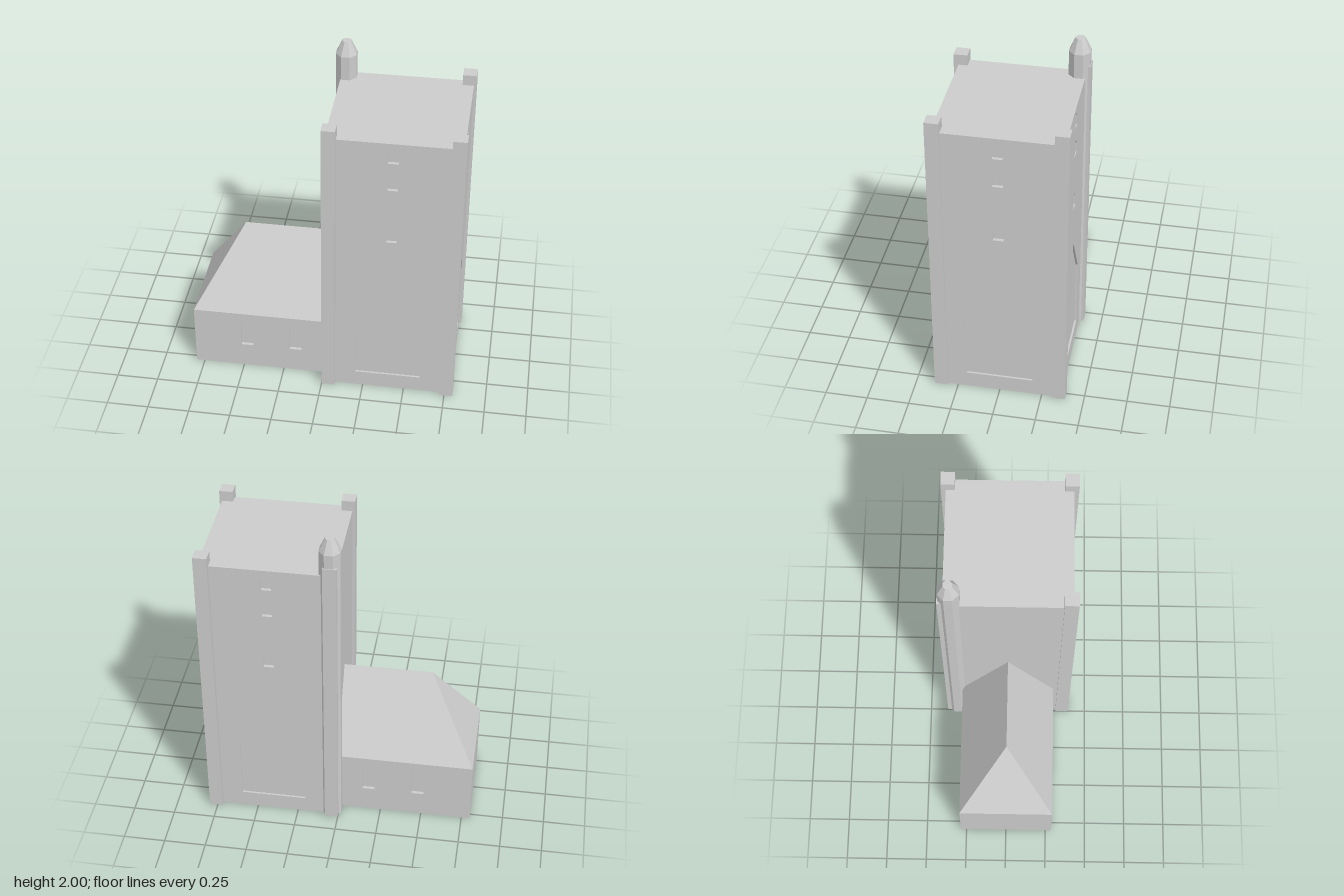
import * as THREE from 'three';

const stone = new THREE.MeshStandardMaterial({ color: 0xcccccc });
stone.name = 'stone';

const RECESS = 0.02; // depth of the wall skin that carries the openings

function add(parent, name, geometry, x = 0, y = 0, z = 0) {
  const mesh = new THREE.Mesh(geometry, stone);
  mesh.name = name;
  mesh.position.set(x, y, z);
  parent.add(mesh);
  return mesh;
}

function box(parent, name, w, h, d, x, y0, z) {
  return add(parent, name, new THREE.BoxGeometry(w, h, d), x, y0 + h / 2, z);
}

// Pointed opening: centre x, half width, sill, spring line, apex
function pointed(Type, [x, r, sill, spring, apex]) {
  const p = new Type();
  p.moveTo(x - r, sill);
  p.lineTo(x + r, sill);
  p.lineTo(x + r, spring);
  p.lineTo(x, apex);
  p.lineTo(x - r, spring);
  p.closePath();
  return p;
}

// Wall skin centred on x, outer face towards +z, with pointed recesses
function wall(width, height, openings) {
  const s = new THREE.Shape();
  s.moveTo(-width / 2, 0);
  s.lineTo(width / 2, 0);
  s.lineTo(width / 2, height);
  s.lineTo(-width / 2, height);
  s.closePath();
  s.holes = openings.map((o) => pointed(THREE.Path, o));
  return new THREE.ExtrudeGeometry(s, { depth: RECESS, bevelEnabled: false });
}

function createTower() {
  const tower = new THREE.Group();
  tower.name = 'tower';
  const H = 1.77, W = 0.77, D = 0.725, cx = 0.4;
  box(tower, 'towerCore', W - 2 * RECESS, H, D - 2 * RECESS, cx, 0, 0);
  box(tower, 'towerInnerWall', RECESS, H, D - 2 * RECESS, cx - W / 2 + RECESS / 2, 0, 0);

  const arch = [0, 0.196, 0.1, 0.535, 0.845];
  const openings = [arch, ...[1.1, 1.46, 1.64].map((y) => [0, 0.03, y, y + 0.06, y + 0.1])];
  const panel = new THREE.ExtrudeGeometry(pointed(THREE.Shape, arch), { depth: 0.008, bevelEnabled: false });

  // Front, back and outer side walls
  const sides = [
    ['front', W, 0, cx, D / 2 - RECESS],
    ['back', W, Math.PI, cx, -D / 2 + RECESS],
    ['side', D - 2 * RECESS, Math.PI / 2, cx + W / 2 - RECESS, 0],
  ];
  for (const [name, width, turn, x, z] of sides) {
    add(tower, name + 'TowerWall', wall(width, H, openings), x, 0, z).rotation.y = turn;
    add(tower, name + 'ArchPanel', panel, x, 0, z).rotation.y = turn;
  }

  // Corner buttresses rising above the roof
  for (const x of [0.04, 0.76])
    for (const z of [-0.35, 0.35]) box(tower, 'cornerButtress', 0.08, 1.835, 0.08, x, 0, z);
  return tower;
}

function createTurret() {
  const turret = new THREE.Group();
  turret.name = 'stairTurret';
  turret.position.set(0.045, 0, -0.325);
  const octagon = (top, bottom, h) => {
    const g = new THREE.CylinderGeometry(top, bottom, h, 8).rotateY(Math.PI / 8).toNonIndexed();
    g.computeVertexNormals();
    return g;
  };
  add(turret, 'turretShaft', octagon(0.065, 0.065, 1.92), 0, 0.96, 0);
  add(turret, 'turretCap', octagon(0.028, 0.065, 0.08), 0, 1.96, 0);
  return turret;
}

function createNave() {
  const nave = new THREE.Group();
  nave.name = 'nave';
  const x0 = -0.8, x1 = 0.02, hz = 0.285, eave = 0.4, ridge = 0.885, hip = -0.515;
  const W = x1 - x0, cx = (x0 + x1) / 2;
  box(nave, 'naveCore', W, eave, 2 * (hz - RECESS), cx, 0, 0);

  // Side walls with two lancet windows each
  for (const s of [1, -1]) {
    const windows = [-0.475, -0.175].map((x) => [s * (x - cx), 0.037, 0.16, 0.335, 0.396]);
    const w = add(nave, s > 0 ? 'frontNaveWall' : 'backNaveWall', wall(W, eave, windows), cx, 0, s * (hz - RECESS));
    w.rotation.y = s > 0 ? 0 : Math.PI;
  }

  // Hipped roof
  const A = [x0, eave, hz], B = [x1, eave, hz], C = [x1, ridge, 0];
  const D = [hip, ridge, 0], E = [x0, eave, -hz], F = [x1, eave, -hz];
  const corners = [A, B, C, A, C, D, E, A, D, F, E, D, F, D, C];
  const roof = new THREE.BufferGeometry();
  roof.setAttribute('position', new THREE.Float32BufferAttribute(corners.flat(), 3));
  roof.computeVertexNormals();
  add(nave, 'naveRoof', roof);
  return nave;
}

export function createModel() {
  const church = new THREE.Group();
  church.name = 'church';
  church.add(createTower(), createTurret(), createNave());
  return church;
}
